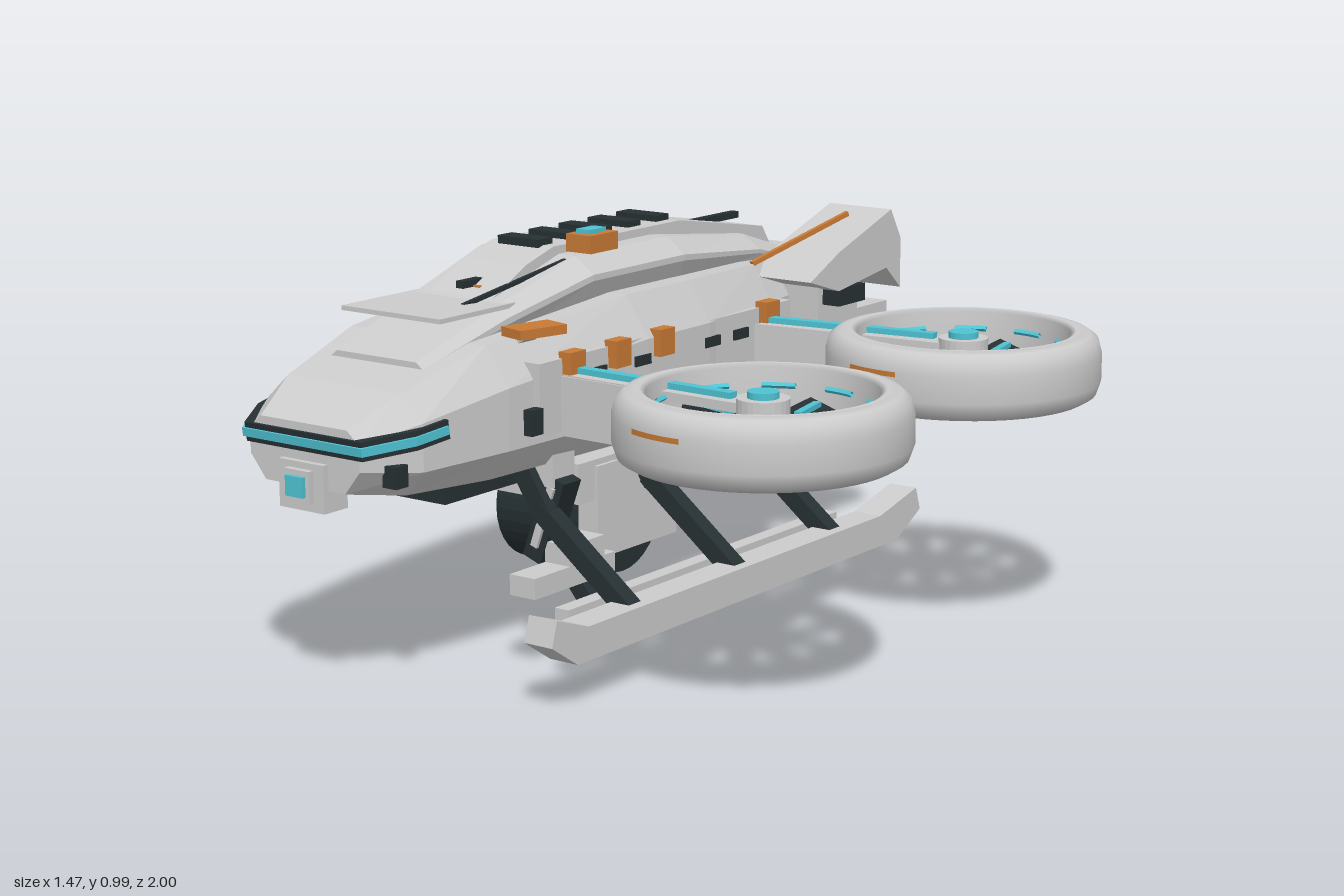
import * as THREE from 'three';

const mat = (color, flat = true) => new THREE.MeshStandardMaterial({ color, flatShading: flat, side: THREE.DoubleSide });
const GREY = mat(0xcccccc), DARK = mat(0x263033), CYAN = mat(0x4fc3d3), ORANGE = mat(0xc87a35);
const SMOOTH = mat(0xcccccc, false);
const CX = -0.44; // hull centre line

function add(parent, name, geo, m = GREY) {
  const mesh = new THREE.Mesh(geo, m);
  mesh.name = name;
  parent.add(mesh);
  return mesh;
}

// box given by its limits
function box(parent, name, x0, x1, y0, y1, z0, z1, m = GREY) {
  const b = add(parent, name, new THREE.BoxGeometry(x1 - x0, y1 - y0, z1 - z0), m);
  b.position.set((x0 + x1) / 2, (y0 + y1) / 2, (z0 + z1) / 2);
  return b;
}

// rectangular bar between two points
function bar(parent, name, a, b, w, d, m = GREY) {
  const p = new THREE.Vector3(...a), q = new THREE.Vector3(...b);
  const mesh = add(parent, name, new THREE.BoxGeometry(w, d, p.distanceTo(q)), m);
  mesh.position.copy(p).add(q).multiplyScalar(0.5);
  mesh.lookAt(q);
  return mesh;
}

// rows run front to back: [z, bottom half width, y, side half width, low y, high y, top half width, y]
function loft(rows) {
  const pos = [], idx = [], n = 8, last = (rows.length - 1) * n;
  for (const [z, bw, by, sw, y1, y2, tw, ty] of rows)
    for (const [x, y] of [[-bw, by], [bw, by], [sw, y1], [sw, y2], [tw, ty], [-tw, ty], [-sw, y2], [-sw, y1]])
      pos.push(CX + x, y, z);
  for (let i = 0; i < last; i += n)
    for (let j = 0; j < n; j++) {
      const a = i + j, b = i + (j + 1) % n;
      idx.push(a, a + n, b + n, a, b + n, b);
    }
  for (let j = 1; j < n - 1; j++) idx.push(0, j, j + 1, last, last + j + 1, last + j);
  const g = new THREE.BufferGeometry();
  g.setAttribute('position', new THREE.Float32BufferAttribute(pos, 3));
  g.setIndex(idx);
  const flat = g.toNonIndexed();
  flat.computeVertexNormals();
  return flat;
}

// side profile of [z, y] points, extruded from x0 to x1
function sideExtrude(points, x0, x1) {
  const s = new THREE.Shape(points.map(([z, y]) => new THREE.Vector2(-z, y)));
  return new THREE.ExtrudeGeometry(s, { depth: x1 - x0, bevelEnabled: false }).rotateY(Math.PI / 2).translate(x0, 0, 0);
}

// band that wraps around the nose
function noseBand(grow, h) {
  const pts = [[-0.25, 0.76], [-0.235, 0.85], [-0.17, 0.96], [0.17, 0.96], [0.235, 0.85], [0.25, 0.76]];
  const s = new THREE.Shape(pts.map(([x, z]) => new THREE.Vector2(x + Math.sign(x) * grow, -(z + grow - 0.85))));
  return new THREE.ExtrudeGeometry(s, { depth: h, bevelEnabled: false }).rotateX(-Math.PI / 2).translate(0, -h / 2, 0);
}

function makeRotor(z) {
  const g = new THREE.Group();
  g.name = 'ductedRotor';
  const profile = [[0.255, 0.6], [0.27, 0.58], [0.3, 0.575], [0.322, 0.588], [0.333, 0.62], [0.333, 0.685], [0.324, 0.718],
    [0.305, 0.732], [0.282, 0.737], [0.278, 0.728], [0.27, 0.737], [0.257, 0.73], [0.255, 0.6]].map(p => new THREE.Vector2(...p));
  add(g, 'duct', new THREE.LatheGeometry(profile, 48), SMOOTH);
  const disc = (name, r, y0, y1, m) =>
    add(g, name, new THREE.CylinderGeometry(r, r, y1 - y0, 24).translate(0, (y0 + y1) / 2, 0), m);
  disc('motor', 0.075, 0.58, 0.67, DARK);
  disc('hub', 0.06, 0.67, 0.715, GREY);
  disc('hubLight', 0.036, 0.715, 0.73, CYAN);
  for (let i = 0; i < 10; i++) {
    const spoke = new THREE.Group();
    spoke.name = 'blade';
    spoke.rotation.y = (i + 0.5) * Math.PI / 5;
    const blade = add(spoke, 'bladePanel', new THREE.BoxGeometry(0.2, 0.014, 0.068), DARK);
    blade.position.set(0.15, 0.645, 0);
    blade.rotation.set(0.35, 0.12, 0);
    const strip = add(spoke, 'bladeLight', new THREE.BoxGeometry(0.12, 0.012, 0.018), CYAN);
    strip.position.set(0.165, 0.66, 0.006);
    strip.rotation.y = 0.22;
    add(spoke, 'rimLight', new THREE.TorusGeometry(0.246, 0.007, 4, 6, 0.32).rotateX(Math.PI / 2).translate(0, 0.69, 0), CYAN);
    g.add(spoke);
  }
  // curved marker on the front of the duct
  add(g, 'ductMarker', new THREE.CylinderGeometry(0.338, 0.338, 0.012, 8, 1, true, -0.36, 0.42).translate(0, 0.682, 0), ORANGE);
  g.position.set(0.4, 0, z);
  return g;
}

export function createModel() {
  const root = new THREE.Group();
  root.name = 'aircraft';

  // fuselage
  add(root, 'hull', loft([
    [0.96, 0.12, 0.505, 0.165, 0.56, 0.62, 0.13, 0.65],
    [0.83, 0.18, 0.485, 0.235, 0.545, 0.655, 0.17, 0.715],
    [0.58, 0.21, 0.475, 0.272, 0.55, 0.695, 0.205, 0.785],
    [0.1, 0.23, 0.475, 0.3, 0.555, 0.735, 0.235, 0.835],
    [-0.15, 0.23, 0.475, 0.298, 0.555, 0.735, 0.235, 0.835],
    [-0.45, 0.205, 0.48, 0.268, 0.56, 0.74, 0.215, 0.83],
    [-0.68, 0.17, 0.49, 0.228, 0.565, 0.735, 0.18, 0.815],
    [-0.89, 0.12, 0.505, 0.165, 0.57, 0.7, 0.13, 0.765]]));
  add(root, 'upperDeck', loft([
    [0.72, 0.13, 0.7, 0.14, 0.735, 0.745, 0.12, 0.76],
    [0.45, 0.14, 0.76, 0.165, 0.81, 0.825, 0.13, 0.85],
    [0.18, 0.165, 0.8, 0.2, 0.875, 0.89, 0.145, 0.93],
    [-0.18, 0.165, 0.8, 0.2, 0.875, 0.89, 0.145, 0.93],
    [-0.55, 0.14, 0.78, 0.165, 0.84, 0.85, 0.11, 0.885],
    [-0.86, 0.1, 0.72, 0.115, 0.765, 0.775, 0.09, 0.79]]));
  add(root, 'spine', sideExtrude([[0.5, 0.82], [0.3, 0.92], [0.2, 0.95], [-0.3, 0.95], [-0.66, 0.89], [-0.7, 0.83]], CX - 0.095, CX + 0.095));
  box(root, 'canopyPlate', CX - 0.15, CX + 0.15, 0.842, 0.853, 0.41, 0.67);
  for (let i = 0; i < 5; i++) {
    const z = -0.27 + i * 0.115;
    box(root, 'roofVent', CX - 0.063, CX + 0.063, 0.94, 0.965, z - 0.026, z + 0.026, DARK);
  }
  box(root, 'roofBeacon', -0.335, -0.26, 0.935, 0.978, 0.06, 0.165, ORANGE);
  box(root, 'roofBeaconLight', -0.32, -0.28, 0.978, 0.988, 0.08, 0.145, CYAN);
  for (const [z, y, r0, r1] of [[0.36, 0.865, 0.28, 0.43], [-0.46, 0.895, -0.67, -0.42]]) {
    box(root, 'roofSensor', CX - 0.032, CX + 0.032, y - 0.02, y + 0.012, z - 0.035, z + 0.035, ORANGE);
    box(root, 'roofSensorRod', CX - 0.011, CX + 0.011, y + 0.008, y + 0.025, r0, r1, DARK);
  }
  bar(root, 'roofRod', [-0.31, 0.92, 0.2], [-0.37, 0.85, 0.5], 0.01, 0.01, DARK);
  box(root, 'shoulderPlate', -0.225, -0.15, 0.798, 0.82, 0.4, 0.53, ORANGE).rotation.y = -0.25;
  bar(root, 'shoulderPlateMount', [-0.25, 0.77, 0.46], [-0.185, 0.805, 0.465], 0.05, 0.02);

  // nose
  for (const [name, grow, h, m] of [['visorFrame', 0.005, 0.045, DARK], ['visorLight', 0.01, 0.02, CYAN]]) {
    const band = add(root, name, noseBand(grow, h), m);
    band.position.set(CX, 0.623, 0.85);
    band.rotation.x = 0.13;
  }
  box(root, 'noseCamera', -0.505, -0.37, 0.455, 0.565, 0.9, 0.975);
  box(root, 'noseCameraRim', -0.475, -0.4, 0.475, 0.55, 0.97, 0.99);
  box(root, 'noseCameraLens', -0.463, -0.411, 0.49, 0.537, 0.985, 1, CYAN);
  box(root, 'noseSensor', -0.255, -0.215, 0.52, 0.57, 0.87, 0.91, DARK);

  // side wall fittings on the rotor side
  box(root, 'sideWall', -0.2, -0.145, 0.57, 0.74, -0.5, 0.5);
  for (const z of [-0.28, -0.16, 0.12, 0.29]) box(root, 'sidePanel', -0.15, -0.138, 0.675, 0.7, z - 0.03, z + 0.03, DARK);
  for (const z of [-0.39, 0.05, 0.22, 0.39]) box(root, 'sideMarker', -0.155, -0.12, 0.69, 0.755, z - 0.028, z + 0.028, ORANGE);
  box(root, 'sideLatch', -0.16, -0.135, 0.58, 0.64, 0.5, 0.54, DARK);

  // rotors on their arms
  for (const s of [1, -1]) {
    const z0 = s * 0.38, z1 = s > 0 ? 0.395 : -0.445;
    root.add(makeRotor(z1));
    bar(root, 'armRoot', [-0.2, 0.63, z0], [0.1, 0.63, (z0 + z1) / 2], 0.085, 0.14);
    bar(root, 'lowerArm', [0.06, 0.57, (z0 + z1) / 2], [0.4, 0.57, z1], 0.085, 0.045);
    bar(root, 'upperArm', [-0.14, 0.692, z0], [0.4, 0.692, z1], 0.08, 0.022);
    bar(root, 'armLight', [-0.13, 0.709, z0], [0.32, 0.709, z1], 0.026, 0.016, CYAN);
  }

  // tail
  box(root, 'tailBlock', -0.615, -0.26, 0.49, 0.745, -0.965, -0.87);
  box(root, 'tailFrame', -0.585, -0.29, 0.51, 0.725, -0.98, -0.96);
  box(root, 'tailGrille', -0.55, -0.325, 0.53, 0.71, -0.99, -0.975, DARK);
  for (let i = 0; i < 4; i++) box(root, 'tailSlat', -0.52, -0.355, 0.55 + i * 0.032, 0.56 + i * 0.032, -0.997, -0.985);
  box(root, 'tailMarker', -0.46, -0.42, 0.68, 0.7, -1, -0.985, ORANGE);
  box(root, 'tailTopBox', -0.52, -0.36, 0.73, 0.8, -0.94, -0.82);
  box(root, 'tailLampBox', -0.26, -0.15, 0.57, 0.67, -0.96, -0.8);
  box(root, 'tailLamp', -0.225, -0.18, 0.597, 0.643, -0.97, -0.955, CYAN);
  box(root, 'tailHookMount', -0.3, -0.25, 0.44, 0.52, -0.95, -0.88);
  box(root, 'tailHook', -0.305, -0.24, 0.415, 0.465, -1, -0.93);
  add(root, 'tailFin', sideExtrude([[-0.45, 0.8], [-0.58, 0.86], [-0.82, 0.94], [-0.867, 0.86], [-0.867, 0.73], [-0.8, 0.79], [-0.58, 0.76]], -0.24, -0.05));
  box(root, 'finVent', -0.14, -0.05, 0.72, 0.765, -0.7, -0.58, DARK);
  box(root, 'finMount', -0.26, -0.1, 0.66, 0.79, -0.74, -0.56);
  bar(root, 'finRod', [-0.14, 0.93, -0.75], [-0.23, 0.83, -0.45], 0.012, 0.012, ORANGE);

  // belly pod
  box(root, 'bellyKeel', -0.535, -0.34, 0.405, 0.485, -0.7, 0.61, DARK);
  box(root, 'podMount', -0.62, -0.26, 0.335, 0.435, -0.23, 0.22);
  const podX = (r, x0, x1, y) => new THREE.CylinderGeometry(r, r, x1 - x0, 32).rotateZ(Math.PI / 2).translate((x0 + x1) / 2, y, 0);
  add(root, 'podDrum', podX(0.155, -0.575, -0.3, 0.27), DARK);
  add(root, 'podCap', podX(0.055, -0.592, -0.57, 0.255));
  box(root, 'podPlate', -0.31, -0.25, 0.19, 0.42, -0.155, 0.16);
  add(root, 'podEye', new THREE.SphereGeometry(0.047, 20, 12).translate(CX, 0.163, 0.09), SMOOTH);

  // landing skid
  add(root, 'skid', sideExtrude([[0.73, 0.165], [0.712, 0.225], [0.6, 0.185], [-0.6, 0.185], [-0.77, 0.225], [-0.79, 0.165], [-0.68, 0.105], [0.64, 0.105]], -0.01, 0.07));
  box(root, 'innerRail', -0.085, -0.045, 0.145, 0.185, -0.57, 0.53);
  for (const z of [0.395, -0.02, -0.43]) {
    bar(root, 'skidStrut', [-0.23, 0.37, z], [0.05, 0.15, z], 0.045, 0.045, DARK);
    bar(root, 'strutRoot', [-0.3, 0.49, z], [-0.21, 0.35, z], 0.04, 0.05, DARK);
  }

  // slung tool beside the pod
  bar(root, 'toolArm', [-0.275, 0.235, 0.35], [-0.2, 0.44, 0.35], 0.065, 0.055, DARK);
  bar(root, 'toolArmStripe', [-0.262, 0.27, 0.385], [-0.208, 0.42, 0.385], 0.012, 0.02);
  box(root, 'toolArmHead', -0.3, -0.2, 0.42, 0.5, 0.31, 0.39);
  box(root, 'toolHousing', -0.235, -0.16, 0.185, 0.235, 0.21, 0.51);
  box(root, 'toolHousingTop', -0.235, -0.16, 0.23, 0.285, 0.25, 0.38);
  bar(root, 'toolLink', [-0.3, 0.2, 0.22], [-0.2, 0.08, 0.22], 0.05, 0.045, DARK);
  bar(root, 'toolBody', [-0.21, 0.073, 0.09], [-0.175, 0.07, 0.28], 0.085, 0.062, ORANGE);
  box(root, 'toolTip', -0.197, -0.147, 0.008, 0.085, 0.27, 0.35).rotation.z = 0.35;

  return root;
}
